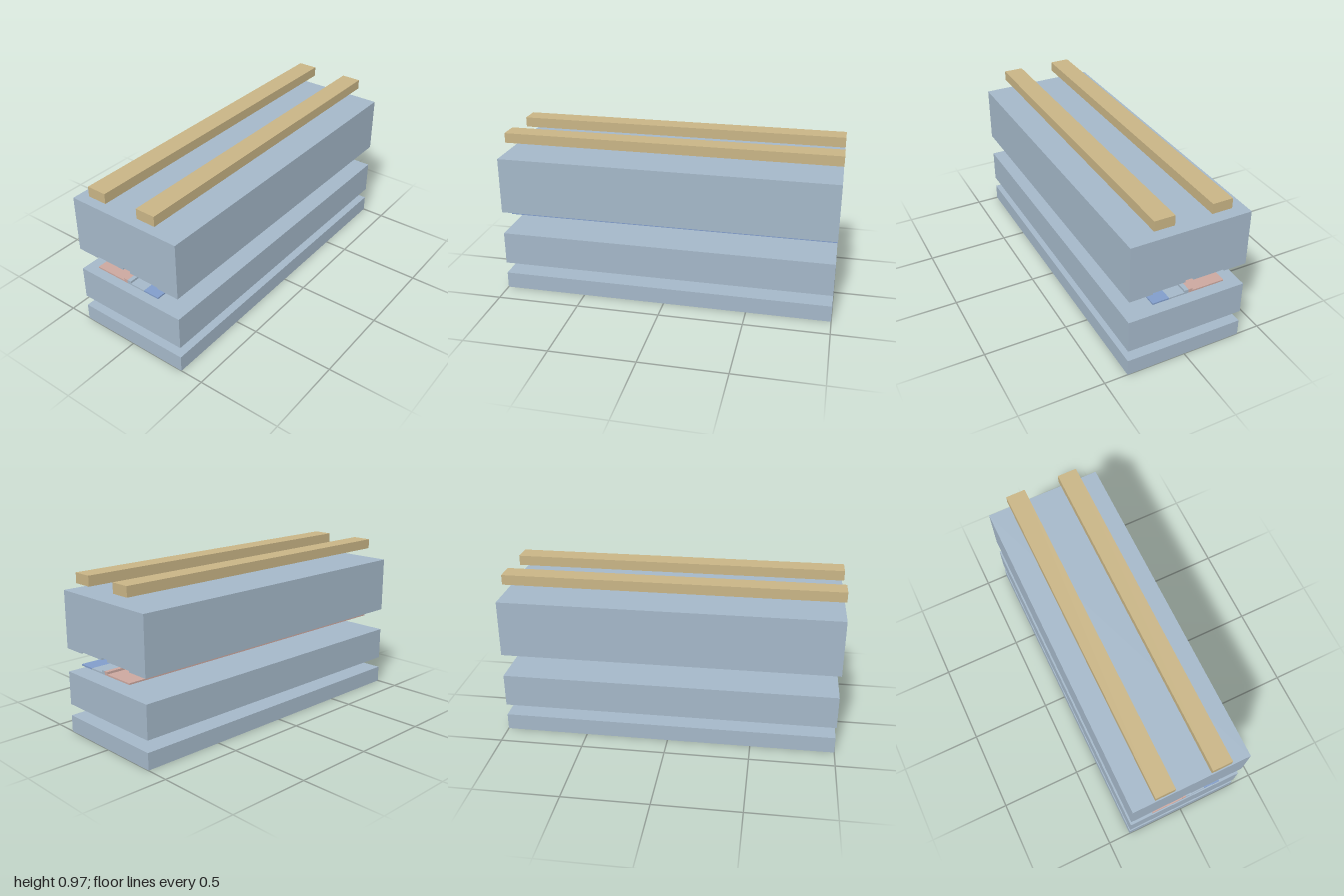
import * as THREE from 'three';

const LENGTH = 2;

const material = (name, color) => {
  const m = new THREE.MeshStandardMaterial({ color });
  m.name = name;
  return m;
};

// Closed x/y outline swept along the full length, centred on z = 0
function profileBar(name, points, mat) {
  const shape = new THREE.Shape(points.map(([x, y]) => new THREE.Vector2(x, y)));
  const geometry = new THREE.ExtrudeGeometry(shape, { depth: LENGTH, bevelEnabled: false });
  geometry.translate(0, 0, -LENGTH / 2);
  const mesh = new THREE.Mesh(geometry, mat);
  mesh.name = name;
  return mesh;
}

// Rectangular bar given by its x and y limits
function bar(name, x0, x1, y0, y1, mat) {
  const mesh = new THREE.Mesh(new THREE.BoxGeometry(x1 - x0, y1 - y0, LENGTH), mat);
  mesh.position.set((x0 + x1) / 2, (y0 + y1) / 2, 0);
  mesh.name = name;
  return mesh;
}

export function createModel() {
  const slate = material('pale slate blue', 0xa4b7c8);
  const gold = material('tan gold', 0xc8b485);
  const pink = material('dusty pink', 0xcba79f);
  const blue = material('medium blue', 0x819dca);

  const model = new THREE.Group();
  model.name = 'explodedLayerStack';

  // Two plain lower slabs
  model.add(bar('baseSlab', -0.36, 0.36, 0, 0.1, slate));
  model.add(bar('lowerSlab', -0.36, 0.36, 0.17, 0.37, slate));

  // Thin ridged strip: two L-shaped halves meeting at the middle, and an end strip
  const bottom = 0.44, top = 0.449, crest = 0.462, ridge = 0.025;
  const strip = new THREE.Group();
  strip.name = 'ridgedStrip';
  strip.add(profileBar('rightStripHalf', [
    [-0.22, bottom], [0, bottom], [0, crest], [-ridge, crest], [-ridge, top], [-0.22, top],
  ], pink));
  strip.add(profileBar('leftStripHalf', [
    [0, bottom], [0.12, bottom], [0.12, top], [ridge, top], [ridge, crest], [0, crest],
  ], slate));
  strip.add(bar('leftStripEnd', 0.12, 0.22, bottom, top, blue));
  model.add(strip);

  // Upper block with a stepped recess matching the strip
  model.add(profileBar('upperBlock', [
    [-0.36, 0.51], [-0.22, 0.51], [-0.22, 0.519], [-ridge, 0.519], [-ridge, 0.532],
    [ridge, 0.532], [ridge, 0.519], [0.22, 0.519], [0.22, 0.51], [0.36, 0.51],
    [0.36, 0.85], [-0.36, 0.85],
  ], slate));

  // Pair of rails on top
  for (const [name, side] of [['leftRail', 1], ['rightRail', -1]]) {
    const rail = bar(name, 0.11, 0.23, 0.91, 0.97, gold);
    rail.position.x *= side;
    model.add(rail);
  }

  return model;
}
